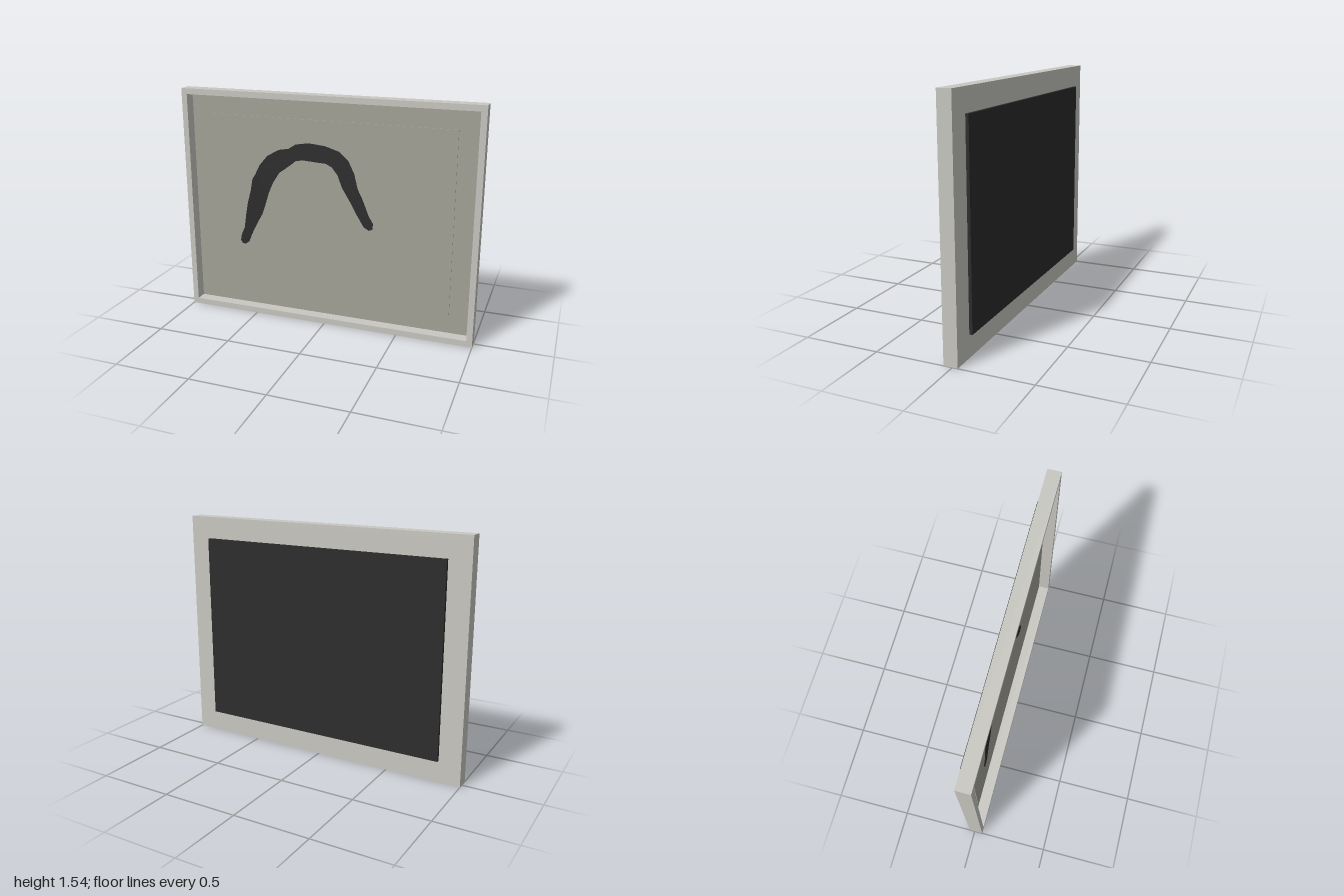
import * as THREE from 'three';

const W = 2, H = 1.545, MID = H / 2;
const BACK = -0.035, FRONT = 0.055, FLOOR = -0.02;

const mat = (name, color) => Object.assign(new THREE.MeshStandardMaterial({ color }), { name });

function rectPath(Type, halfW, y0, y1) {
  const p = new Type();
  p.moveTo(-halfW, y0);
  p.lineTo(halfW, y0);
  p.lineTo(halfW, y1);
  p.lineTo(-halfW, y1);
  p.closePath();
  return p;
}

export function createModel() {
  const group = new THREE.Group();
  group.name = 'framedPicture';
  const frameMat = mat('light warm grey', 0xc8c7c1);
  const panelMat = mat('mid warm grey', 0xa4a398);
  const darkMat = mat('charcoal', 0x2c2c2c);

  const add = (name, geometry, material, x = 0, y = 0, z = 0) => {
    const mesh = new THREE.Mesh(geometry, material);
    mesh.name = name;
    mesh.position.set(x, y, z);
    group.add(mesh);
  };
  const slab = (name, material, w, y0, y1, z0, z1) =>
    add(name, new THREE.BoxGeometry(w, y1 - y0, z1 - z0), material, 0, (y0 + y1) / 2, (z0 + z1) / 2);

  // Outer frame with its rectangular opening
  const outline = rectPath(THREE.Shape, W / 2, 0, H);
  outline.holes.push(rectPath(THREE.Path, 0.962, 0.04, 1.507));
  add('frame', new THREE.ExtrudeGeometry(outline, { depth: FRONT - BACK, bevelEnabled: false }),
    frameMat, 0, 0, BACK);

  // Closed back of the frame, recessed panel and slightly raised sheet
  slab('frameBack', frameMat, 1.924, 0.04, 1.507, BACK, -0.028);
  slab('recessedPanel', panelMat, 1.924, 0.04, 1.507, -0.028, FLOOR);
  slab('raisedSheet', panelMat, 1.66, MID - 0.605, MID + 0.605, FLOOR, -0.014);

  // Dark plate on the rear
  slab('rearPlate', darkMat, 1.71, MID - 0.628, MID + 0.628, -0.055, BACK);

  // Painted arch: outer edge left to right, then inner edge back again
  const arch = [
    [-0.637, 0.505], [-0.63, 0.545], [-0.605, 0.6], [-0.59, 0.7], [-0.575, 0.78], [-0.55, 0.87],
    [-0.535, 0.95], [-0.51, 0.99], [-0.48, 1.05], [-0.42, 1.12], [-0.34, 1.165], [-0.27, 1.178],
    [-0.22, 1.21], [-0.13, 1.225], [-0.02, 1.215], [0.08, 1.185], [0.14, 1.13], [0.18, 1.05],
    [0.205, 0.95], [0.24, 0.88], [0.28, 0.78], [0.31, 0.73], [0.31, 0.69], [0.285, 0.68],
    [0.25, 0.7], [0.2, 0.78], [0.15, 0.87], [0.1, 0.95], [0.07, 1.03], [0.03, 1.08],
    [-0.01, 1.1], [-0.1, 1.105], [-0.17, 1.11], [-0.22, 1.1], [-0.27, 1.06], [-0.34, 1.01],
    [-0.39, 0.93], [-0.42, 0.86], [-0.445, 0.78], [-0.47, 0.71], [-0.51, 0.64], [-0.55, 0.56],
    [-0.575, 0.5], [-0.6, 0.48], [-0.625, 0.483],
  ].map(([x, y]) => new THREE.Vector2(x, y));
  add('paintedArch', new THREE.ExtrudeGeometry(new THREE.Shape(arch), { depth: 0.004, bevelEnabled: false }),
    darkMat, 0, 0, -0.014);

  return group;
}
